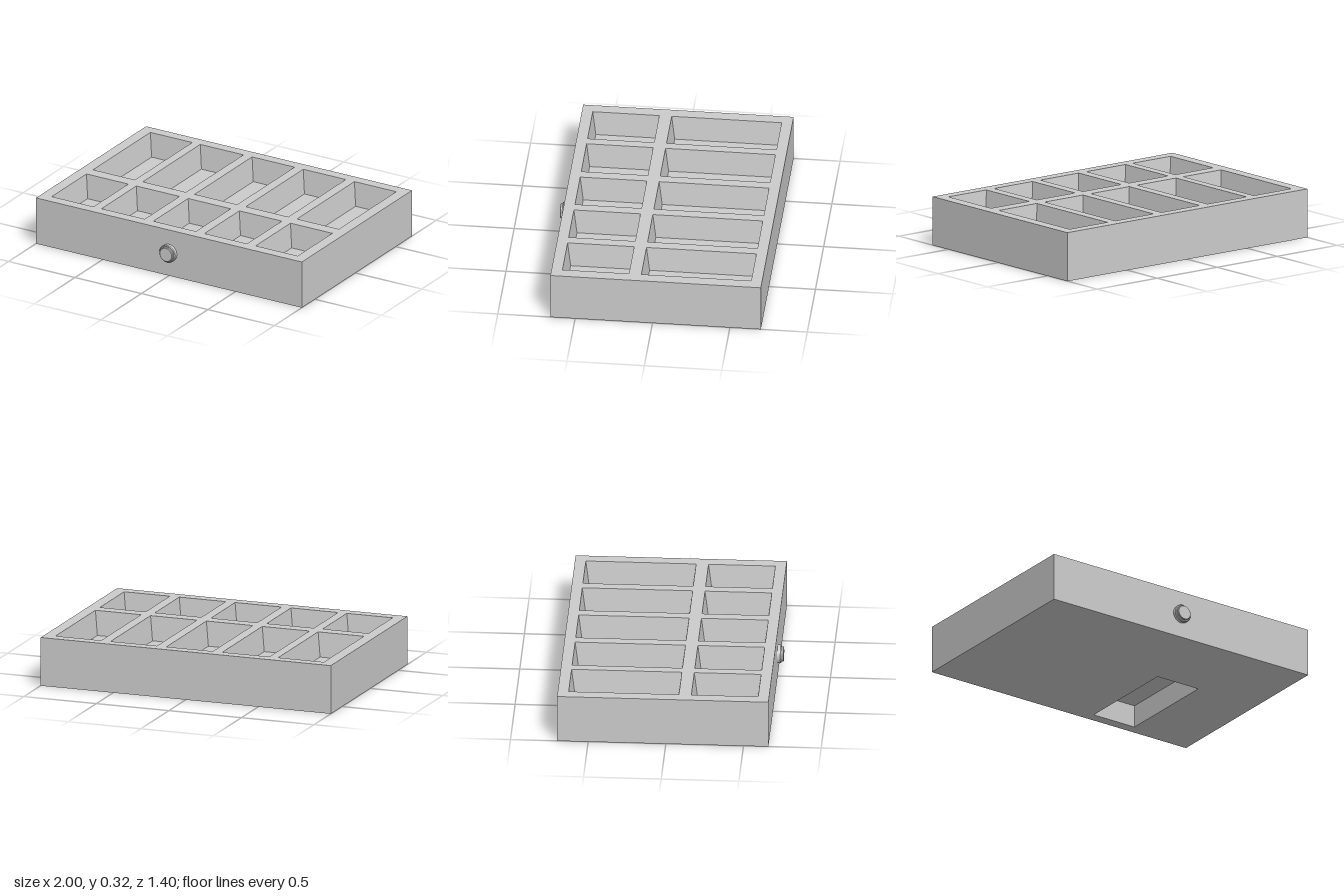
import * as THREE from 'three';
import { mergeGeometries, toCreasedNormals } from 'three/addons/utils/BufferGeometryUtils.js';

const TOP = 0.32;
const OUTER = [-1, -0.7, 1, 0.66]; // x0, z0, x1, z1
const COLUMNS = [[-0.925, -0.61], [-0.55, -0.225], [-0.16, 0.16], [0.225, 0.545], [0.61, 0.925]];
const ROWS = [[-0.63, 0.08], [0.16, 0.59]];
const POCKET_DEPTH = 0.16;
const RECESS_DEPTH = 0.15;
const TAPER = 0.022;

const material = new THREE.MeshStandardMaterial({ color: 0xcccccc });

// Corners of a rectangle at height y, counter-clockwise seen from above
const corners = ([x0, z0, x1, z1], y) => [[x0, y, z0], [x0, y, z1], [x1, y, z1], [x1, y, z0]];

function quads(list) {
  const pos = list.flatMap(([a, b, c, d]) => [a, b, c, a, c, d].flat());
  const g = new THREE.BufferGeometry();
  g.setAttribute('position', new THREE.Float32BufferAttribute(pos, 3));
  g.computeVertexNormals();
  return g;
}

// Four walls between two rectangles: outward when rising, inward when descending
function walls(rectA, yA, rectB, yB) {
  const a = corners(rectA, yA), b = corners(rectB, yB);
  return a.map((p, i) => [p, a[(i + 1) % 4], b[(i + 1) % 4], b[i]]);
}

// Flat rectangular sheet with rectangular holes
function sheet(rect, holes, y, faceUp) {
  const flip = faceUp ? -1 : 1;
  const points = (r) => corners(r, 0).map(([x, , z]) => new THREE.Vector2(x, flip * z));
  const shape = new THREE.Shape(points(rect));
  shape.holes = holes.map((h) => new THREE.Path(points(h)));
  const g = new THREE.ShapeGeometry(shape).toNonIndexed();
  g.deleteAttribute('uv');
  return g.rotateX(flip * Math.PI / 2).translate(0, y, 0);
}

export function createModel() {
  const model = new THREE.Group();
  const add = (name, geometry) => {
    const mesh = new THREE.Mesh(geometry, material);
    mesh.name = name;
    model.add(mesh);
  };

  const pockets = ROWS.flatMap(([z0, z1]) => COLUMNS.map(([x0, x1]) => [x0, z0, x1, z1]));
  const recess = pockets[3]; // underside recess lies below the fourth long pocket

  // Tray body: rim with openings, outer sides, base with one opening
  add('trayBody', mergeGeometries([
    sheet(OUTER, pockets, TOP, true),
    sheet(OUTER, [recess], 0, false),
    quads(walls(OUTER, 0, OUTER, TOP)),
  ]));

  // Tapered compartments
  for (const rect of pockets) {
    const floor = rect.map((v, i) => v + (i < 2 ? TAPER : -TAPER));
    const y = TOP - POCKET_DEPTH;
    add('compartment', quads([...walls(rect, TOP, floor, y), corners(floor, y)]));
  }

  // Straight recess in the underside
  add('undersideRecess', quads([
    ...walls(recess, RECESS_DEPTH, recess, 0),
    corners(recess, RECESS_DEPTH).reverse(),
  ]));

  // Stepped round knob on the front
  const profile = [[0.06, 0], [0.06, 0.02], [0.055, 0.025], [0.049, 0.025], [0.049, 0.036], [0.045, 0.04], [0, 0.04]]
    .map(([r, h]) => new THREE.Vector2(r, h));
  const knob = toCreasedNormals(new THREE.LatheGeometry(profile, 32), 0.5);
  add('knob', knob.rotateX(Math.PI / 2).translate(0, 0.16, 0.66));

  return model;
}
